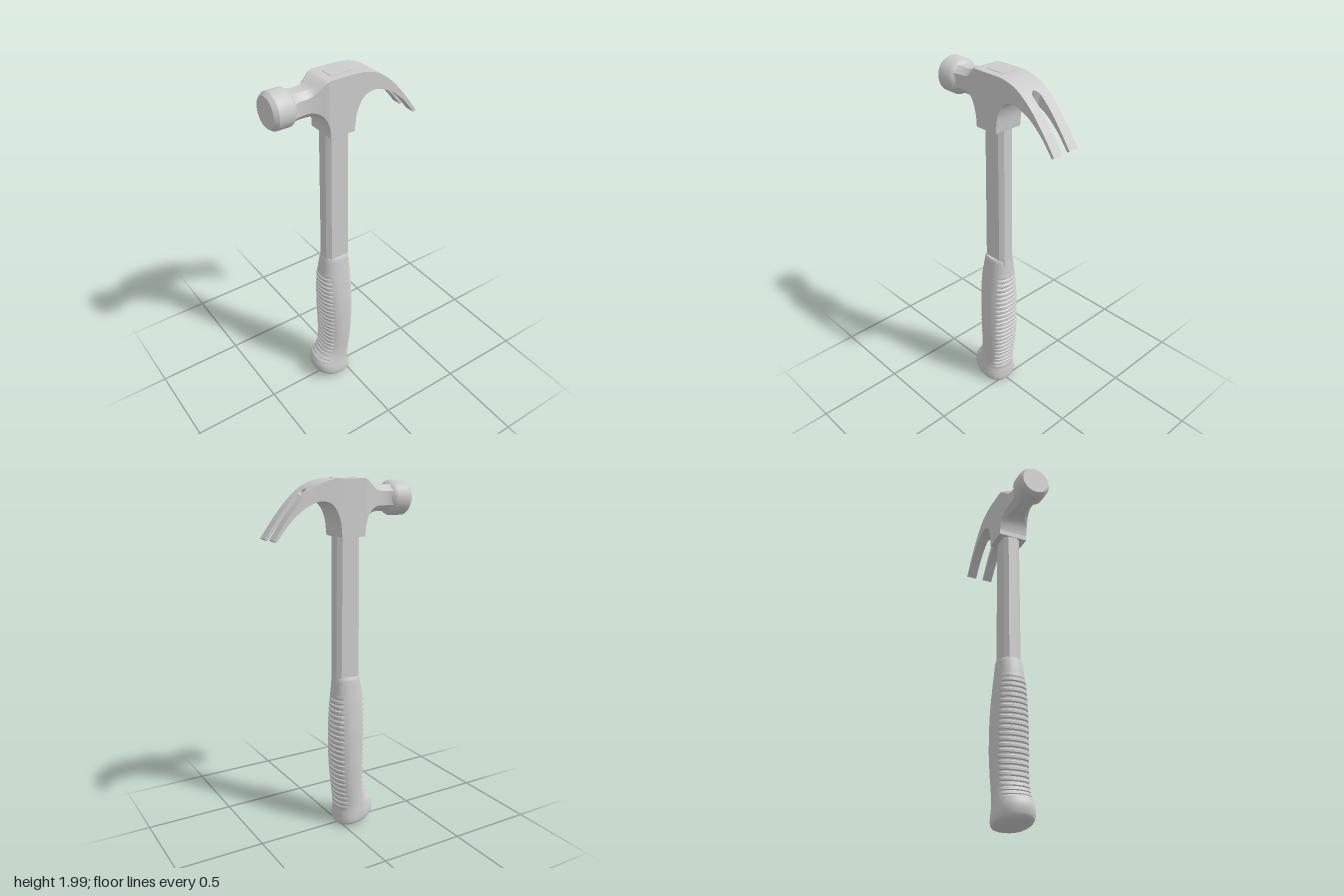
import * as THREE from 'three';
import { toCreasedNormals } from 'three/addons/utils/BufferGeometryUtils.js';

const V = (x, y, z) => new THREE.Vector3(x, y, z);

// Skin a row of closed rings (each counter-clockwise about the direction of travel) and cap the ends.
function loft(rings, crease) {
  const n = rings[0].length, last = rings.length - 1, index = [];
  const points = rings.flat();
  for (let i = 0; i < last; i++) {
    for (let j = 0; j < n; j++) {
      const a = i * n + j, b = i * n + (j + 1) % n;
      index.push(a, b, b + n, a, b + n, a + n);
    }
  }
  for (const i of [0, last]) {
    const centre = rings[i].reduce((s, p) => s.add(p), V(0, 0, 0)).divideScalar(n);
    const c = points.push(centre) - 1;
    for (let j = 0; j < n; j++) {
      const a = i * n + j, b = i * n + (j + 1) % n;
      if (i === 0) index.push(c, b, a);
      else index.push(c, a, b);
    }
  }
  const geometry = new THREE.BufferGeometry().setFromPoints(points);
  geometry.setIndex(index);
  return toCreasedNormals(geometry, crease);
}

// Linear or smooth lookup in a table of [position, ...values], ascending.
function sample(table, t) {
  let i = 0;
  while (i < table.length - 2 && t > table[i + 1][0]) i++;
  const a = table[i], b = table[i + 1];
  const k = THREE.MathUtils.clamp((t - a[0]) / (b[0] - a[0]), 0, 1);
  return a.slice(1).map((v, c) => {
    const prev = table[Math.max(i - 1, 0)], next = table[Math.min(i + 2, table.length - 1)];
    const h = b[0] - a[0];
    const m0 = (b[c + 1] - prev[c + 1]) / (b[0] - prev[0]) * h;
    const m1 = (next[c + 1] - a[c + 1]) / (next[0] - a[0]) * h;
    const k2 = k * k, k3 = k2 * k;
    return (2 * k3 - 3 * k2 + 1) * v + (k3 - 2 * k2 + k) * m0 + (3 * k2 - 2 * k3) * b[c + 1] + (k3 - k2) * m1;
  });
}

// Rounded striking face, turned about the x axis
function faceGeometry() {
  const profile = [[0, 0], [0.078, 0], [0.084, 0.006], [0.095, 0.022], [0.095, 0.098], [0.09, 0.108],
    [0.083, 0.118], [0.07, 0.128], [0, 0.135]];
  const geometry = new THREE.LatheGeometry(profile.map(([r, h]) => new THREE.Vector2(r, h)), 48);
  geometry.rotateZ(-Math.PI / 2).translate(-0.418, 1.893, 0);
  return toCreasedNormals(geometry, 0.5);
}

// Chamfered neck flaring into the head: x, bottom, top, half width, chamfer
function neckGeometry() {
  const table = [
    [-0.305, 1.822, 1.965, 0.078, 0.035], [-0.275, 1.824, 1.962, 0.066, 0.032],
    [-0.24, 1.826, 1.96, 0.063, 0.03], [-0.2, 1.825, 1.966, 0.066, 0.028],
    [-0.16, 1.813, 1.987, 0.075, 0.02], [-0.135, 1.79, 1.997, 0.082, 0.01],
    [-0.122, 1.76, 1.998, 0.085, 0.004], [-0.113, 1.71, 1.998, 0.085, 0.001]];
  const rings = [];
  for (let i = 0; i <= 32; i++) {
    const x = -0.305 + 0.192 * i / 32;
    const [lo, hi, w, c] = sample(table, x);
    rings.push([[hi, c - w], [hi, w - c], [hi - c, w], [lo + c, w], [lo, w - c], [lo, c - w], [lo + c, -w], [hi - c, -w]]
      .map(([y, z]) => V(x, y, z)));
  }
  return loft(rings, 0.5);
}

// One prong of the curved claw; the slot opens at x = 0.2 with a round end
function prongGeometry(side) {
  const curve = pts => new THREE.CatmullRomCurve3(pts.map(([x, y]) => V(x, y, 0)));
  const outer = curve([[0.02, 1.998], [0.05, 1.997], [0.1, 1.99], [0.17, 1.965], [0.255, 1.9], [0.34, 1.805], [0.417, 1.703]]);
  const inner = curve([[0.025, 1.7], [0.04, 1.8], [0.08, 1.867], [0.14, 1.888], [0.235, 1.857], [0.325, 1.787], [0.403, 1.694]]);
  const slot = x => {
    const r = 0.025, d = Math.min(Math.max(x - 0.197, 0), r);
    return Math.sqrt(d * (2 * r - d));
  };
  const rings = [];
  for (let i = 0; i <= 90; i++) {
    const a = outer.getPoint(i / 90), b = inner.getPoint(i / 90);
    const w = 0.085 - 0.003 * i / 90;
    const ring = [V(a.x, a.y, slot(a.x)), V(a.x, a.y, w), V(b.x, b.y, w), V(b.x, b.y, slot(b.x))];
    if (side < 0) {
      ring.forEach(p => { p.z *= -1; });
      ring.reverse();
    }
    rings.push(ring);
  }
  return loft(rings, 0.6);
}

// Socket block between neck and claw
function socketGeometry() {
  const shape = new THREE.Shape([[-0.116, 1.7], [0.025, 1.7], [0.021, 1.998], [-0.118, 1.998]]
    .map(([x, y]) => new THREE.Vector2(x, y)));
  return new THREE.ExtrudeGeometry(shape, { depth: 0.17, bevelEnabled: false }).translate(0, 0, -0.085);
}

// Chamfered shaft, widening slightly downwards
function shaftGeometry() {
  const rings = [[0.88, 0.074], [1.72, 0.068]].map(([y, a]) => {
    const b = 0.05, c = 0.022, m = -0.043;
    return [[a, b - c], [a, c - b], [a - c, -b], [c - a, -b], [-a, c - b], [-a, b - c], [c - a, b], [a - c, b]]
      .map(([x, z]) => V(m + x, y, z));
  });
  return loft(rings, 0.5);
}

// Moulded grip with ribbed panels: height, back x, front x, half width
function gripGeometry() {
  const table = [
    [0.005, -0.17, 0.008, 0.085], [0.012, -0.19, 0.02, 0.1], [0.03, -0.203, 0.026, 0.107],
    [0.07, -0.208, 0.025, 0.106], [0.11, -0.198, 0.021, 0.101], [0.16, -0.168, 0.021, 0.098],
    [0.22, -0.146, 0.026, 0.098], [0.3, -0.137, 0.034, 0.101], [0.42, -0.138, 0.042, 0.104],
    [0.6, -0.143, 0.045, 0.1], [0.75, -0.143, 0.041, 0.088], [0.84, -0.135, 0.036, 0.078],
    [0.91, -0.122, 0.031, 0.07], [0.92, -0.118, 0.027, 0.066]];
  const heights = [0.005, 0.008, 0.012, 0.018];
  for (let y = 0.025; y < 0.905; y += 0.006) heights.push(y);
  heights.push(0.91, 0.916, 0.92);
  const n = 64;
  const rings = heights.map(y => {
    const [x0, x1, w] = sample(table, y);
    const m = (x0 + x1) / 2, a = (x1 - x0) / 2;
    const tilt = 0.19 * (1 - THREE.MathUtils.smoothstep(y, 0.02, 0.3));
    const ends = THREE.MathUtils.smoothstep(y, 0.1, 0.14) * (1 - THREE.MathUtils.smoothstep(y, 0.78, 0.83));
    const rib = Math.cos(y / 0.03 * Math.PI * 2) > -0.3 ? 0.004 : -0.002;
    return Array.from({ length: n }, (_, j) => {
      const t = j / n * Math.PI * 2, c = Math.cos(t), s = Math.sin(t);
      const panel = Math.abs(c) > 0.62 ? rib * ends : 0;
      const px = Math.sign(c) * Math.abs(c) ** 0.85 * (a + panel);
      const pz = -Math.sign(s) * Math.abs(s) ** 0.85 * (w + panel * 0.5);
      return V(m + px, y + tilt * (0.02 - m - px), pz);
    });
  });
  return loft(rings, 0.6);
}

export function createModel() {
  const model = new THREE.Group();
  model.name = 'clawHammer';
  const material = new THREE.MeshStandardMaterial({ color: 0xcccccc });
  const add = (name, geometry, parent) => {
    const mesh = new THREE.Mesh(geometry, material);
    mesh.name = name;
    parent.add(mesh);
    return mesh;
  };

  // Head
  const head = new THREE.Group();
  head.name = 'head';
  model.add(head);
  add('strikingFace', faceGeometry(), head);
  add('neck', neckGeometry(), head);
  add('socket', socketGeometry(), head);
  add('leftProng', prongGeometry(1), head);
  add('rightProng', prongGeometry(-1), head);
  add('handleEnd', new THREE.BoxGeometry(0.115, 0.02, 0.08), head).position.set(-0.025, 1.99, 0);

  // Handle
  const handle = new THREE.Group();
  handle.name = 'handle';
  model.add(handle);
  add('shaft', shaftGeometry(), handle);
  add('grip', gripGeometry(), handle);
  return model;
}
